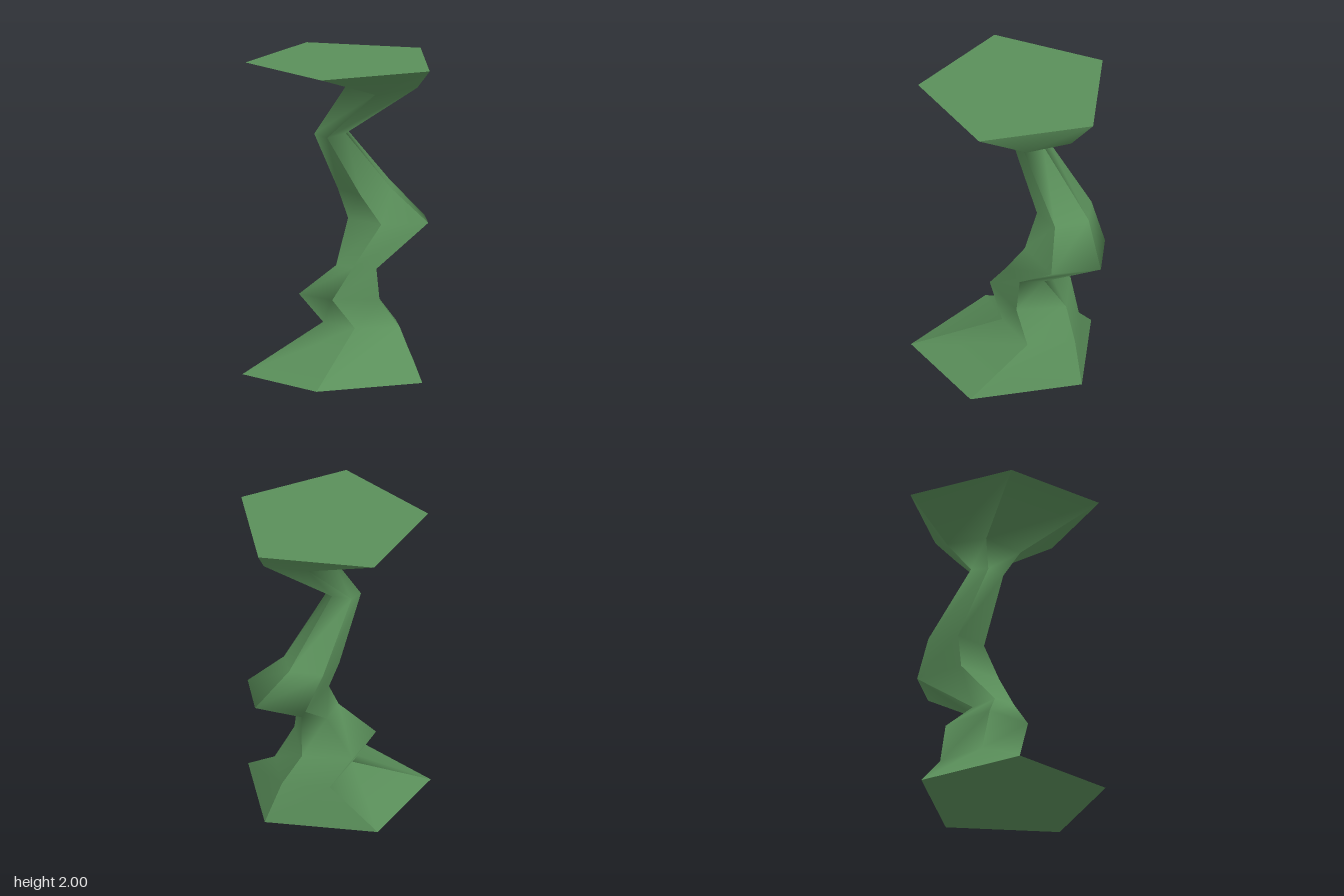
import * as THREE from 'three';

// Rings from base to top: centre x, y, z, radius, tilt (rise in y per unit of z)
const RINGS = [
  [-0.06, 0, 0.065, 0.615, 0],
  [-0.03, 0.28, -0.19, 0.262, 0.07],
  [-0.126, 0.465, -0.08, 0.275, 0.096],
  [-0.018, 0.662, -0.09, 0.138, 0.135],
  [0.046, 0.927, -0.39, 0.274, 0.05],
  [-0.09, 1.13, -0.322, 0.186, -0.11],
  [-0.183, 1.525, -0.038, 0.108, -0.2],
  [0.092, 1.829, -0.23, 0.245, -0.1],
  [-0.06, 2, 0, 0.63, 0],
];
const SIDES = 5;

// Corner k of a ring, counted from +x towards +z
function corner([x, y, z, r, tilt], k) {
  const a = (k / SIDES) * Math.PI * 2;
  const dz = Math.sin(a) * r;
  return [x + Math.cos(a) * r, y + tilt * dz, z + dz];
}

function build(points, index) {
  const geometry = new THREE.BufferGeometry();
  geometry.setAttribute('position', new THREE.Float32BufferAttribute(points.flat(), 3));
  geometry.setIndex(index);
  geometry.computeVertexNormals();
  return geometry;
}

// One long side: smooth along its length, sharp against its neighbours
function sideGeometry(k) {
  const points = [];
  const index = [];
  RINGS.forEach((ring, i) => {
    points.push(corner(ring, k), corner(ring, k + 1));
    if (i === 0) return;
    const a = 2 * i - 2;
    index.push(a, a + 2, a + 1, a + 1, a + 2, a + 3);
  });
  return build(points, index);
}

// Flat pentagon closing one end
function capGeometry(ring, up) {
  const points = [];
  const index = [];
  for (let k = 0; k < SIDES; k++) points.push(corner(ring, k));
  for (let k = 1; k < SIDES - 1; k++) index.push(0, up ? k + 1 : k, up ? k : k + 1);
  return build(points, index);
}

export function createModel() {
  const model = new THREE.Group();
  model.name = 'twistedPedestal';
  const green = new THREE.MeshStandardMaterial({ color: 0x5a8f5a });
  green.name = 'leaf green';

  const add = (name, geometry) => {
    const mesh = new THREE.Mesh(geometry, green);
    mesh.name = name;
    model.add(mesh);
  };

  for (let k = 0; k < SIDES; k++) add(`columnSide${k + 1}`, sideGeometry(k));
  add('baseFace', capGeometry(RINGS[0], false));
  add('topFace', capGeometry(RINGS[RINGS.length - 1], true));
  return model;
}
